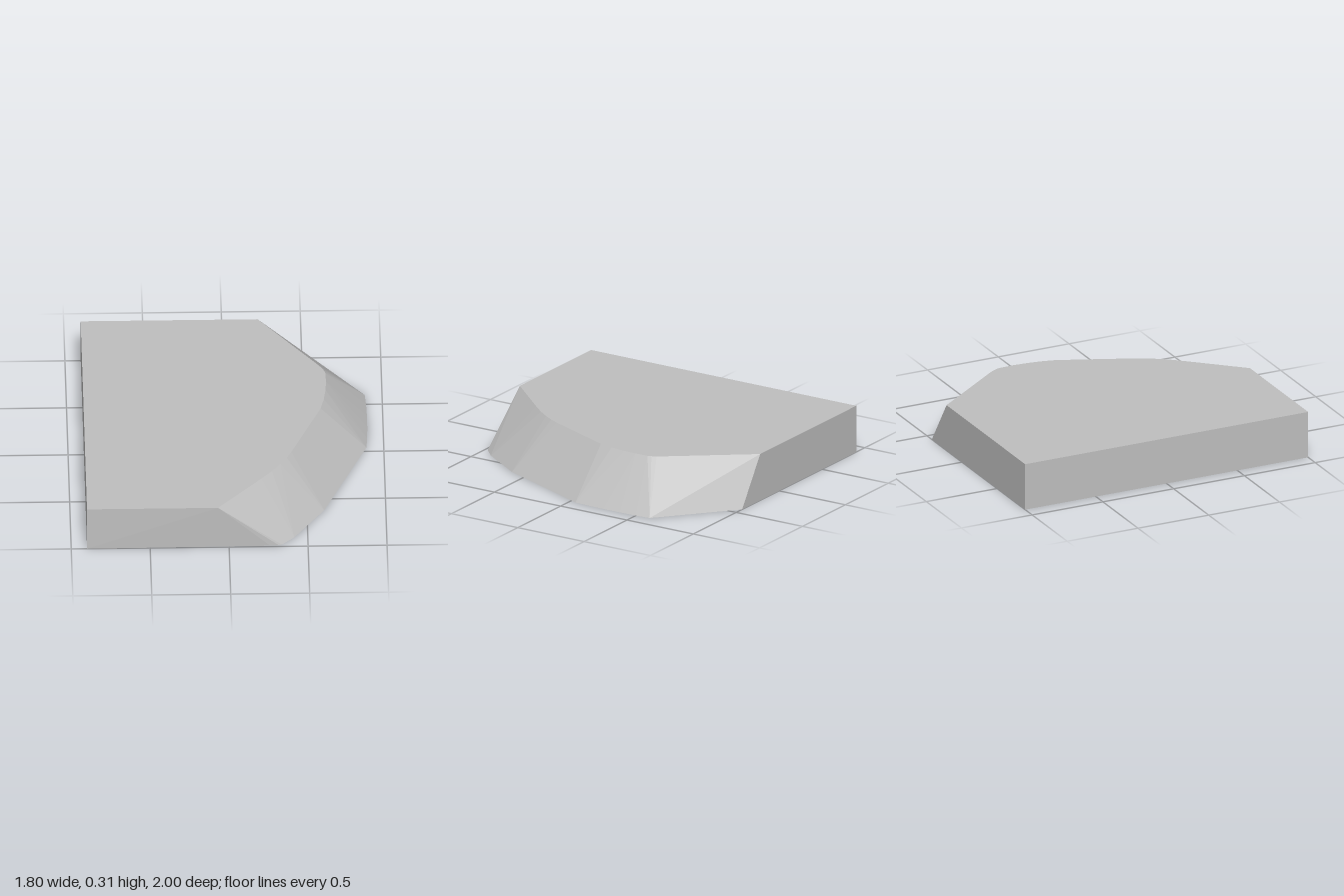
import * as THREE from 'three';
import { ConvexGeometry } from 'three/addons/geometries/ConvexGeometry.js';

const HEIGHT = 0.31;

// Outline of the upper face, as [x, z], back to front
const topEdge = [
  [-0.9, -1], [0.22, -1], [0.595, -0.505], [0.615, -0.475], [0.63, -0.445], [0.637, -0.42],
  [0.64, -0.33], [0.635, -0.24], [0.622, -0.14], [0.6, -0.045],
  [0.405, 0.415], [0.375, 0.475], [0.335, 0.54], [0.28, 0.615], [0.21, 0.695],
  [-0.07, 1], [-0.9, 1],
];

// Outline of the wider underside
const bottomEdge = [
  [-0.9, -1], [0.43, -1], [0.89, -0.6], [0.897, -0.5], [0.9, -0.38], [0.9, -0.26],
  [0.897, -0.14], [0.89, -0.04], [0.61, 0.62], [0.415, 0.905], [0.335, 0.98],
  [0.315, 0.986], [0.26, 0.99], [-0.9, 1],
];

const atHeight = (edge, y) => edge.map(([x, z]) => new THREE.Vector3(x, y, z));

export function createModel() {
  const group = new THREE.Group();
  group.name = 'bevelledSlab';

  const grey = new THREE.MeshStandardMaterial({ color: 0xbfbfbf });
  grey.name = 'light grey';

  // Solid slab whose sloping side joins the two outlines
  const slab = new THREE.Mesh(
    new ConvexGeometry([...atHeight(topEdge, HEIGHT), ...atHeight(bottomEdge, 0)]),
    grey,
  );
  slab.name = 'slab';
  group.add(slab);

  return group;
}
